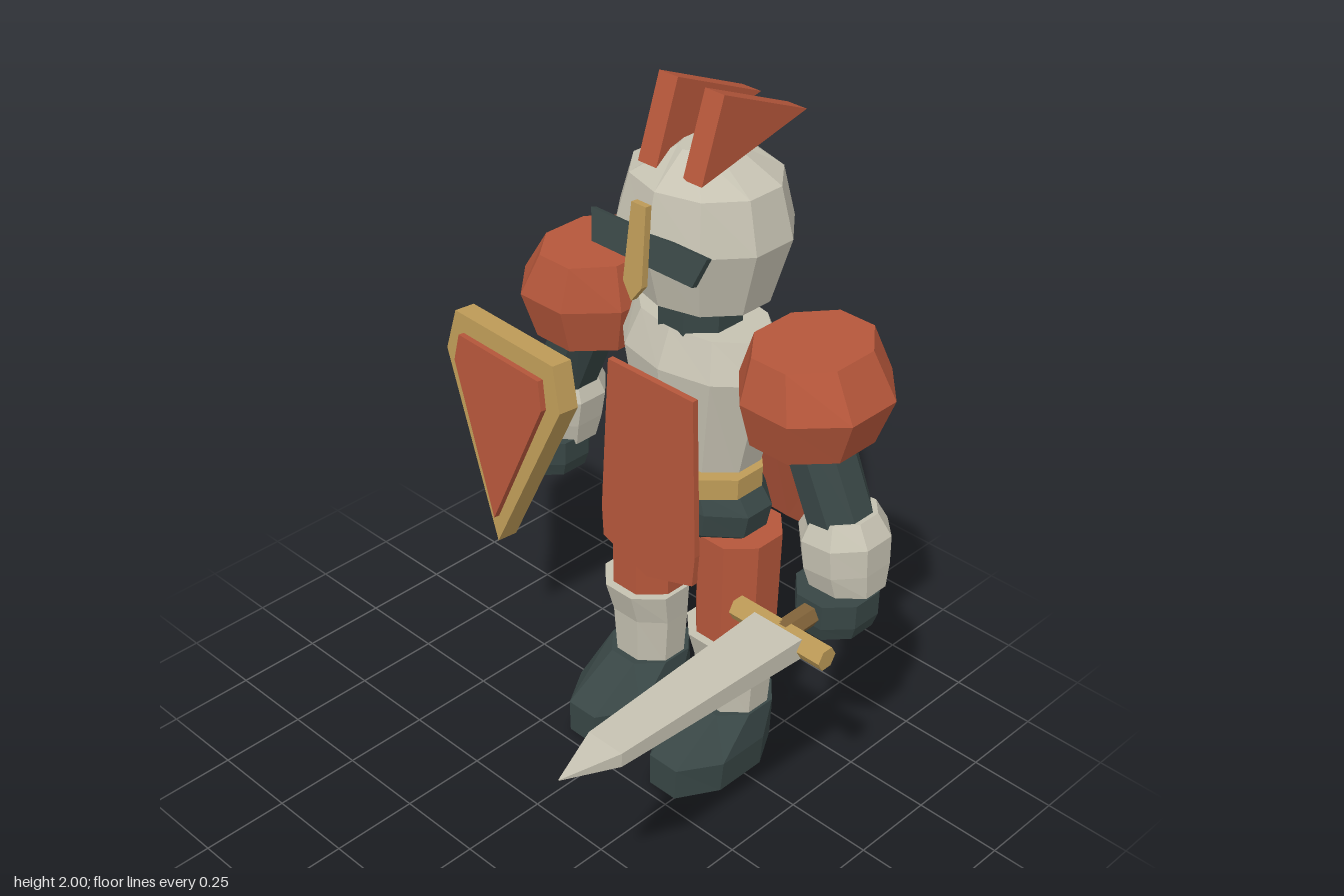
import * as THREE from 'three';

const CX = 0.045; // the body's own centre line

export function createModel() {
  const model = new THREE.Group();
  model.name = 'armouredKnight';
  const paint = (name, color) => {
    const m = new THREE.MeshStandardMaterial({ color });
    m.name = name;
    return m;
  };
  const steel = paint('paleSteel', 0xc6c2b2);
  const dark = paint('darkSlate', 0x384645);
  const red = paint('brickRed', 0xb6573b);
  const gold = paint('gold', 0xbf9c58);
  const brown = paint('brownLeather', 0x82643a);
  const capeRed = paint('capeRed', 0xb0543a);
  capeRed.side = THREE.DoubleSide;

  // Adds a faceted mesh
  function add(name, geometry, material, x = 0, y = 0, z = 0, parent = model) {
    const flat = geometry.index ? geometry.toNonIndexed() : geometry;
    flat.computeVertexNormals();
    const mesh = new THREE.Mesh(flat, material);
    mesh.name = name;
    mesh.position.set(x, y, z);
    parent.add(mesh);
    return mesh;
  }

  // Closed solid through rings of [y, half width, half depth, z centre, x centre], bottom to top.
  // With flats on, sides rather than corners face the axes.
  function loft(sides, rings, flats = true) {
    const pos = [], idx = [];
    const turn = flats ? Math.PI / sides : 0;
    const grow = flats ? 1 / Math.cos(turn) : 1;
    rings.forEach(([y, hx, hz, cz = 0, cx = 0]) => {
      for (let i = 0; i < sides; i++) {
        const a = turn + (i / sides) * Math.PI * 2;
        pos.push(cx + Math.sin(a) * hx * grow, y, cz + Math.cos(a) * hz * grow);
      }
    });
    for (let r = 0; r < rings.length - 1; r++) {
      for (let i = 0; i < sides; i++) {
        const a = r * sides + i, b = r * sides + (i + 1) % sides;
        idx.push(a, b, a + sides, b, b + sides, a + sides);
      }
    }
    const top = (rings.length - 1) * sides;
    for (let i = 1; i < sides - 1; i++) {
      idx.push(0, i + 1, i, top, top + i, top + i + 1);
    }
    const g = new THREE.BufferGeometry();
    g.setAttribute('position', new THREE.Float32BufferAttribute(pos, 3));
    g.setIndex(idx);
    return g;
  }

  // Plate cut from an outline, with its back at z = 0
  function plate(points, depth) {
    const shape = new THREE.Shape(points.map(([x, y]) => new THREE.Vector2(x, y)));
    return new THREE.ExtrudeGeometry(shape, { depth, bevelEnabled: false });
  }

  // Torso, belt, hips and neck
  add('breastplate', loft(10, [[0.93, 0.18, 0.135], [1.25, 0.255, 0.17], [1.355, 0.21, 0.13]], false), steel, CX, 0, -0.325);
  add('belt', loft(10, [[0.9, 0.213, 0.155], [0.96, 0.213, 0.155]], false), gold, CX, 0, -0.3);
  add('hips', loft(10, [[0.73, 0.16, 0.11], [0.78, 0.23, 0.145], [0.85, 0.245, 0.15], [0.905, 0.2, 0.14]], false), dark, CX, 0, -0.31);
  add('neck', loft(8, [[1.3, 0.105, 0.11], [1.46, 0.105, 0.11]]), dark, CX, 0, -0.31);

  // Helmet, visor slit and nose guard
  add('helmet', loft(10, [
    [1.435, 0.19, 0.165], [1.62, 0.243, 0.215], [1.755, 0.205, 0.185], [1.835, 0.05, 0.09],
  ], false), steel, CX, 0, -0.318);
  const visor = add('visor', plate([[-0.17, -0.04], [0.17, -0.04], [0.195, 0.04], [-0.195, 0.04]], 0.018), dark, CX, 1.61, -0.118);
  visor.rotation.x = -0.3;
  const guard = add('noseGuard', plate([
    [0, -0.13], [0.032, -0.085], [0.024, 0.125], [-0.024, 0.125], [-0.032, -0.085],
  ], 0.02), gold, CX, 1.615, -0.088);
  guard.rotation.x = -0.09;

  // Twin crest fins
  for (const s of [-1, 1]) {
    const fin = plate([[0.185, 1.785], [0.56, 1.87], [0.255, 2]], 0.062);
    fin.translate(0, 0, -0.031);
    fin.rotateY(Math.PI / 2);
    add('crestFin', fin, red, CX + s * 0.075);
  }

  // Front tabard
  add('tabard', plate([
    [0, 0.61], [0.165, 0.665], [0.172, 0.76], [0.15, 1.23], [-0.15, 1.23], [-0.172, 0.76], [-0.165, 0.665],
  ], 0.018), red, CX, 0, -0.145);

  // Cape, folded along its centre towards the hem
  const capePos = [], capeIdx = [];
  for (const [y, half, z, dy, dz] of [
    [1.28, 0.212, -0.497, 0, 0], [0.97, 0.265, -0.585, 0, 0], [0.575, 0.332, -0.67, -0.055, -0.042],
  ]) {
    capePos.push(-half, y, z, 0, y + dy, z + dz, half, y, z);
  }
  for (const a of [0, 1, 3, 4]) capeIdx.push(a, a + 1, a + 3, a + 1, a + 4, a + 3);
  const cape = new THREE.BufferGeometry();
  cape.setAttribute('position', new THREE.Float32BufferAttribute(capePos, 3));
  // Outer side faces the back
  cape.setIndex(capeIdx);
  add('cape', cape, capeRed, CX);

  // Arms and legs, one of each per side
  for (const s of [-1, 1]) {
    const side = s > 0 ? 'left' : 'right';

    add(side + 'Pauldron', loft(8, [
      [1.17, 0.148, 0.163, 0, s * 0.381], [1.3, 0.183, 0.2, 0, s * 0.389], [1.42, 0.132, 0.167, 0, s * 0.37],
    ]), red, CX, 0, -0.315);
    const upper = add(side + 'UpperArm', loft(8, [[-0.36, 0.08, 0.085], [0, 0.07, 0.095]]), dark, CX + s * 0.36, 1.27, -0.31);
    upper.rotation.z = s * 0.42;
    const fore = add(side + 'Forearm', loft(8, [
      [-0.2, 0.1, 0.09], [-0.13, 0.108, 0.11], [-0.05, 0.113, 0.113], [0.01, 0.08, 0.085],
    ]), steel, CX + s * 0.503, 0.98, -0.315);
    fore.rotation.z = s * 0.1;
    add(side + 'Hand', loft(8, [[0.68, 0.088, 0.1], [0.72, 0.1, 0.11], [0.79, 0.1, 0.11]]), dark, CX + s * 0.526, 0, -0.28);

    const legX = CX + s * 0.16;
    add(side + 'Thigh', loft(8, [[0.43, 0.106, 0.11], [0.77, 0.11, 0.114]]), red, legX, 0, -0.315);
    add(side + 'Greave', loft(8, [
      [0.19, 0.098, 0.092, -0.312], [0.345, 0.11, 0.098, -0.308], [0.445, 0.119, 0.115, -0.295],
    ]), steel, legX);
    add(side + 'Boot', loft(8, [
      [0, 0.113, 0.198, -0.233], [0.1, 0.121, 0.198, -0.233], [0.2, 0.106, 0.115, -0.315],
    ]), dark, legX);
  }

  // Shield on the right arm, its tip leaning forward
  const shield = new THREE.Group();
  shield.name = 'shield';
  shield.position.set(-0.482, 0.8, -0.15);
  shield.rotation.set(-0.06, -0.05, 0);
  model.add(shield);
  add('shieldRim', plate([
    [0, -0.315], [0.24, 0.21], [0.205, 0.34], [-0.205, 0.34], [-0.24, 0.21],
  ], 0.065), gold, 0, 0, 0, shield);
  add('shieldFace', plate([
    [0, -0.23], [0.185, 0.2], [0.168, 0.285], [-0.168, 0.285], [-0.185, 0.2],
  ], 0.018), red, 0, 0, 0.065, shield);

  // Sword in the left hand, built upright and laid forward
  const sword = new THREE.Group();
  sword.name = 'sword';
  sword.position.set(0.572, 0.748, 0);
  sword.rotation.x = Math.PI / 2;
  model.add(sword);
  add('blade', loft(4, [
    [-0.05, 0.078, 0.03], [0.555, 0.054, 0.02], [0.705, 0.001, 0.001],
  ]), steel, 0, 0, 0, sword);
  add('grip', loft(6, [[-0.36, 0.028, 0.028], [-0.06, 0.028, 0.028]]), brown, 0, 0, 0, sword);
  const cross = loft(6, [[-0.148, 0.028, 0.028], [0.148, 0.028, 0.028]]);
  cross.rotateZ(Math.PI / 2);
  add('crossguard', cross, gold, 0, -0.065, 0, sword);

  return model;
}
